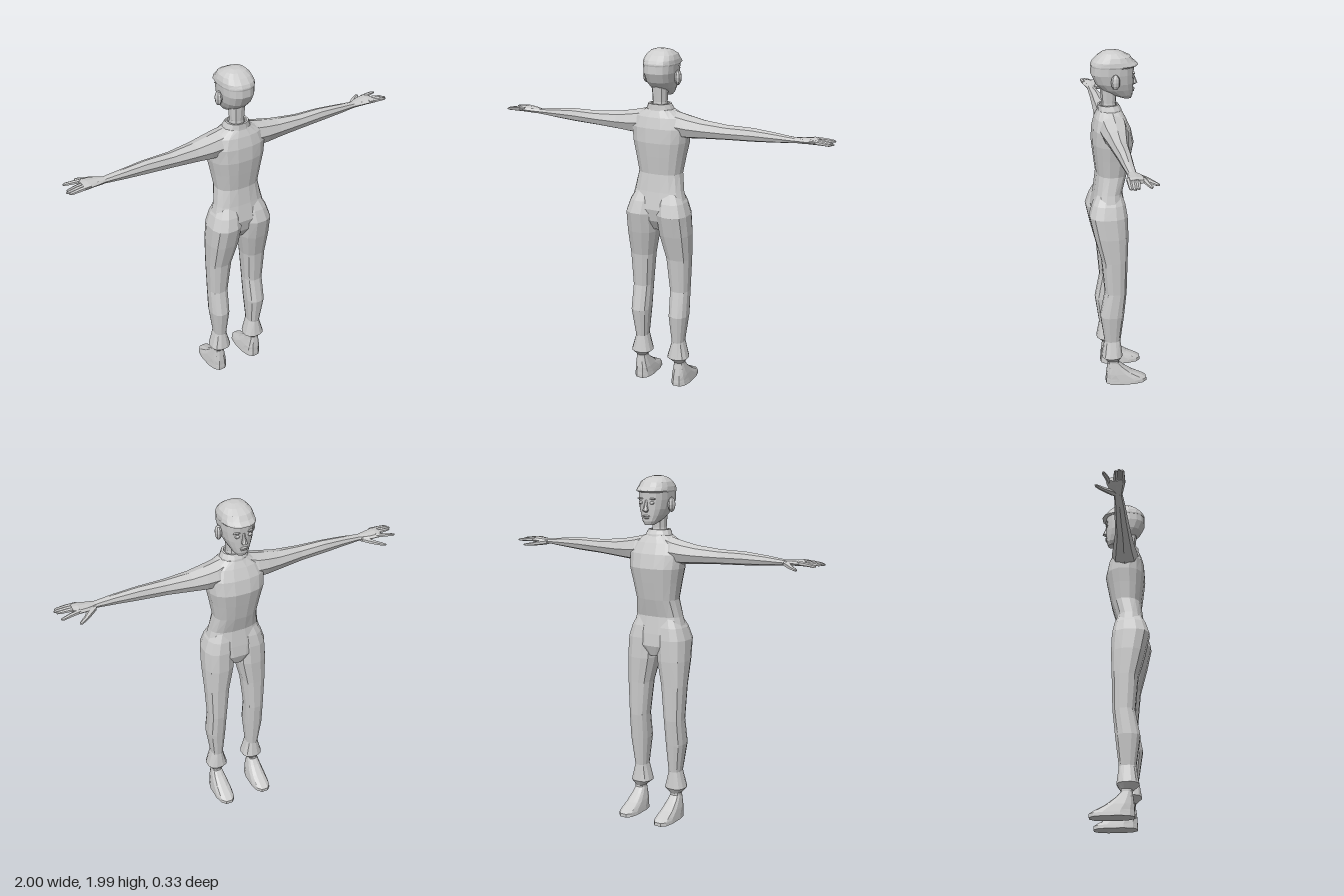
import * as THREE from 'three';

const skin = new THREE.MeshStandardMaterial({ color: 0xcccccc });
skin.name = 'plain grey';

// Rounded outline point for angle a; exponent below 1 squares it off
const round = (v, e) => Math.sign(v) * Math.abs(v) ** e;

// Horizontal ring between x0..x1 and z0..z1
function ringY([y, x0, x1, z0, z1], n, e) {
  return Array.from({ length: n }, (_, i) => {
    const a = ((i + 0.5) / n) * Math.PI * 2;
    return new THREE.Vector3(
      (x0 + x1) / 2 + ((x1 - x0) / 2) * round(Math.cos(a), e), y,
      (z0 + z1) / 2 - ((z1 - z0) / 2) * round(Math.sin(a), e));
  });
}

// Upright ring across the x axis between y0..y1 and z0..z1
function ringX([x, y0, y1, z0, z1], n, e) {
  return Array.from({ length: n }, (_, i) => {
    const a = (i / n) * Math.PI * 2;
    return new THREE.Vector3(x,
      (y0 + y1) / 2 + ((y1 - y0) / 2) * round(Math.cos(a), e),
      (z0 + z1) / 2 + ((z1 - z0) / 2) * round(Math.sin(a), e));
  });
}

// Skin a list of rings with faceted quads, closing both ends
function loft(rings, caps = true) {
  const out = [];
  const tri = (...p) => p.forEach(v => out.push(v.x, v.y, v.z));
  const n = rings[0].length;
  for (let r = 0; r + 1 < rings.length; r++) {
    const A = rings[r], B = rings[r + 1];
    for (let i = 0; i < n; i++) {
      const j = (i + 1) % n;
      tri(A[i], A[j], B[j]);
      tri(A[i], B[j], B[i]);
    }
  }
  if (caps) {
    const first = rings[0], last = rings[rings.length - 1];
    for (let i = 1; i + 1 < n; i++) {
      tri(first[0], first[i + 1], first[i]);
      tri(last[0], last[i], last[i + 1]);
    }
  }
  const g = new THREE.BufferGeometry();
  g.setAttribute('position', new THREE.Float32BufferAttribute(out, 3));
  g.computeVertexNormals();
  return g;
}

const loftY = (rows, n = 12, e = 0.85, caps = true) => loft(rows.map(r => ringY(r, n, e)), caps);
const loftX = (rows, n = 8, e = 0.9) => loft(rows.map(r => ringX(r, n, e)));
// Rows symmetric about x = 0: [y, halfWidth, z0, z1]
const sym = rows => rows.map(([y, w, z0, z1]) => [y, -w, w, z0, z1]);

// Mirror faceted geometry in x, restoring the winding
function mirrored(geo) {
  const g = geo.clone(), p = g.attributes.position;
  const at = i => new THREE.Vector3(-p.getX(i), p.getY(i), p.getZ(i));
  for (let i = 0; i < p.count; i += 3) {
    const [a, b, c] = [at(i), at(i + 1), at(i + 2)];
    [a, c, b].forEach((v, k) => p.setXYZ(i + k, v.x, v.y, v.z));
  }
  g.computeVertexNormals();
  return g;
}

function ellipsoid(x, y, z, rx, ry, rz, w = 8, h = 6) {
  const g = new THREE.SphereGeometry(1, w, h).toNonIndexed();
  g.scale(rx, ry, rz).translate(x, y, z);
  g.computeVertexNormals();
  return g;
}

export function createModel() {
  const model = new THREE.Group();
  model.name = 'figure';
  const add = (name, geo) => {
    const m = new THREE.Mesh(geo, skin);
    m.name = name;
    model.add(m);
  };
  const pair = (name, geo) => {
    add(name + 'Left', geo);
    add(name + 'Right', mirrored(geo));
  };

  // Trunk, from crotch to neck base (the figure faces -z)
  add('torso', loftY(sym([
    [0.97, 0.05, -0.03, 0.09], [1.03, 0.14, -0.052, 0.13], [1.1, 0.172, -0.046, 0.145],
    [1.2, 0.145, -0.032, 0.127], [1.3, 0.127, -0.06, 0.115], [1.4, 0.145, -0.08, 0.128],
    [1.48, 0.162, -0.095, 0.137], [1.56, 0.168, -0.078, 0.133], [1.62, 0.14, -0.05, 0.118],
    [1.66, 0.075, -0.028, 0.1],
  ]), 16, 0.8));

  // Trouser legs with flared cuffs
  pair('leg', loftY([
    [0.145, 0.095, 0.152, 0, 0.068], [0.18, 0.055, 0.182, -0.022, 0.102],
    [0.28, 0.082, 0.154, -0.01, 0.085], [0.45, 0.066, 0.178, -0.03, 0.11],
    [0.6, 0.062, 0.176, -0.045, 0.082], [0.8, 0.042, 0.186, -0.05, 0.1],
    [0.95, 0.01, 0.192, -0.056, 0.14], [1.07, 0.003, 0.188, -0.052, 0.166],
    [1.14, 0.005, 0.165, -0.04, 0.145], [1.2, 0.015, 0.13, -0.02, 0.115],
  ], 12, 0.82));

  // Feet, sloping from ankle to toe
  pair('foot', loftY([
    [0, 0.066, 0.178, -0.168, 0.08], [0.02, 0.068, 0.176, -0.168, 0.08],
    [0.035, 0.07, 0.174, -0.145, 0.078], [0.065, 0.075, 0.17, -0.085, 0.076],
    [0.105, 0.085, 0.162, -0.03, 0.07], [0.135, 0.092, 0.156, 0, 0.066],
    [0.18, 0.092, 0.156, 0, 0.068],
  ], 12, 0.75));

  // Outstretched arms running into flat palms
  pair('arm', loftX([
    [0.05, 1.53, 1.665, -0.035, 0.095], [0.12, 1.505, 1.645, -0.05, 0.105],
    [0.18, 1.506, 1.632, -0.045, 0.1], [0.26, 1.513, 1.617, -0.032, 0.09],
    [0.4, 1.523, 1.605, -0.01, 0.08], [0.55, 1.53, 1.604, 0, 0.072],
    [0.68, 1.54, 1.593, 0.01, 0.067], [0.79, 1.55, 1.58, 0.015, 0.06],
  ]));
  pair('palm', loftX([
    [0.78, 1.55, 1.58, 0.015, 0.06], [0.83, 1.552, 1.584, -0.008, 0.072],
    [0.88, 1.556, 1.588, -0.018, 0.083], [0.91, 1.56, 1.585, -0.005, 0.083],
  ]));

  // Fingers: [start z, end z, tip x]
  [[0, -0.022, 0.985], [0.03, 0.04, 0.99], [0.05, 0.058, 1], [0.07, 0.075, 0.992]].forEach(([za, zb, tip], i) =>
    pair('finger' + (i + 1), loftX([
      [0.875, 1.56, 1.586, za - 0.012, za + 0.012],
      [(0.875 + tip) / 2, 1.561, 1.582, (za + zb) / 2 - 0.012, (za + zb) / 2 + 0.012],
      [tip - 0.015, 1.56, 1.576, zb - 0.01, zb + 0.01], [tip, 1.563, 1.571, zb - 0.005, zb + 0.005],
    ], 6)));
  pair('thumb', loftX([
    [0.79, 1.548, 1.574, 0, 0.04], [0.83, 1.542, 1.57, -0.035, 0.02],
    [0.865, 1.54, 1.56, -0.06, -0.025], [0.89, 1.54, 1.556, -0.076, -0.05],
    [0.903, 1.543, 1.552, -0.076, -0.064],
  ], 6));

  // Neck and turned collar
  add('neck', loftY(sym([
    [1.63, 0.046, -0.008, 0.085], [1.7, 0.04, 0, 0.08], [1.8, 0.045, -0.01, 0.09],
  ]), 10));
  add('collar', loftY(sym([
    [1.64, 0.085, -0.035, 0.105], [1.665, 0.076, -0.03, 0.102], [1.69, 0.064, -0.015, 0.1],
    [1.69, 0.052, -0.008, 0.09], [1.655, 0.046, -0.004, 0.085],
  ]), 12, 0.9, false));

  // Head and hair
  add('head', loftY(sym([
    [1.722, 0.026, -0.084, -0.035], [1.742, 0.045, -0.092, 0.02], [1.775, 0.064, -0.094, 0.08],
    [1.81, 0.078, -0.095, 0.115], [1.86, 0.087, -0.096, 0.138], [1.915, 0.089, -0.098, 0.136],
  ]), 16, 0.8));
  add('hair', loftY(sym([
    [1.9, 0.09, -0.1, 0.137], [1.908, 0.093, -0.12, 0.139], [1.914, 0.092, -0.118, 0.138],
    [1.93, 0.09, -0.097, 0.13], [1.955, 0.08, -0.078, 0.105], [1.976, 0.058, -0.035, 0.075],
    [1.986, 0.025, 0.005, 0.045],
  ]), 16, 0.8));
  pair('ear', ellipsoid(0.096, 1.832, 0.015, 0.019, 0.042, 0.025));

  // Facial features
  add('nose', loftY(sym([
    [1.793, 0.009, -0.1, -0.085], [1.803, 0.017, -0.119, -0.08],
    [1.83, 0.01, -0.108, -0.08], [1.86, 0.007, -0.097, -0.08],
  ]), 6));
  add('upperLip', ellipsoid(0, 1.772, -0.094, 0.024, 0.006, 0.009));
  add('lowerLip', ellipsoid(0, 1.762, -0.092, 0.02, 0.006, 0.009));
  pair('eye', ellipsoid(0.036, 1.845, -0.09, 0.016, 0.009, 0.008));
  pair('brow', ellipsoid(0.038, 1.867, -0.091, 0.023, 0.005, 0.009));
  return model;
}
